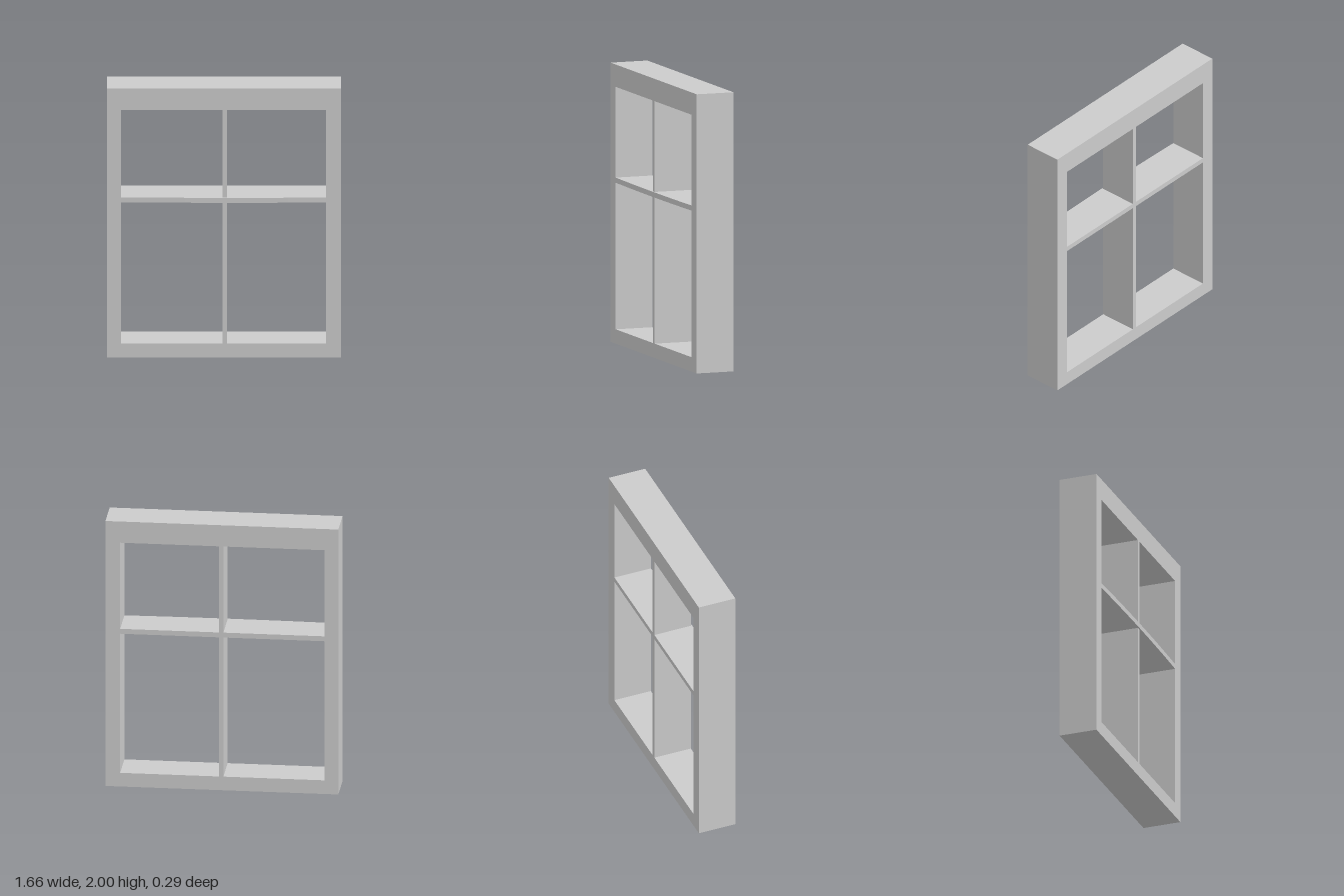
import * as THREE from 'three';

const material = new THREE.MeshStandardMaterial({ color: 0xcccccc, flatShading: true });
const BACK = -0.145, FRONT = 0.135;
const LEFT = -0.73, RIGHT = 0.725, BOTTOM = 0.103, TOP = 1.84;
const BAR_LOW = 1.153, BAR_HIGH = 1.19;

function rectangle(PathType, x0, y0, x1, y1) {
  const p = new PathType();
  p.moveTo(x0, y0);
  p.lineTo(x1, y0);
  p.lineTo(x1, y1);
  p.lineTo(x0, y1);
  p.closePath();
  return p;
}

function addMesh(group, name, geometry) {
  const mesh = new THREE.Mesh(geometry, material);
  mesh.name = name;
  group.add(mesh);
  return mesh;
}

export function createModel() {
  const group = new THREE.Group();
  group.name = 'windowFrame';

  // Outer frame with one large opening
  const outline = rectangle(THREE.Shape, -0.83, 0, 0.83, 2);
  outline.holes.push(rectangle(THREE.Path, LEFT, BOTTOM, RIGHT, TOP));
  const frame = new THREE.ExtrudeGeometry(outline, { depth: FRONT - BACK, bevelEnabled: false });
  addMesh(group, 'outerFrame', frame.translate(0, 0, BACK));

  // Horizontal bar with a slightly bowed front, drawn as a plan and raised in y
  const plan = new THREE.Shape();
  plan.moveTo(LEFT, -FRONT);
  plan.quadraticCurveTo((LEFT + RIGHT) / 2, -FRONT - 0.02, RIGHT, -FRONT);
  plan.lineTo(RIGHT, -BACK);
  plan.lineTo(LEFT, -BACK);
  plan.closePath();
  const bar = new THREE.ExtrudeGeometry(plan, { depth: BAR_HIGH - BAR_LOW, bevelEnabled: false, curveSegments: 16 });
  addMesh(group, 'horizontalBar', bar.rotateX(-Math.PI / 2).translate(0, BAR_LOW, 0));

  // Vertical bars below and above the horizontal one
  for (const [name, y0, y1] of [['lowerVerticalBar', BOTTOM, BAR_LOW], ['upperVerticalBar', BAR_HIGH, TOP]]) {
    const mesh = addMesh(group, name, new THREE.BoxGeometry(0.032, y1 - y0, FRONT - BACK));
    mesh.position.set(0.005, (y0 + y1) / 2, (FRONT + BACK) / 2);
  }
  return group;
}
